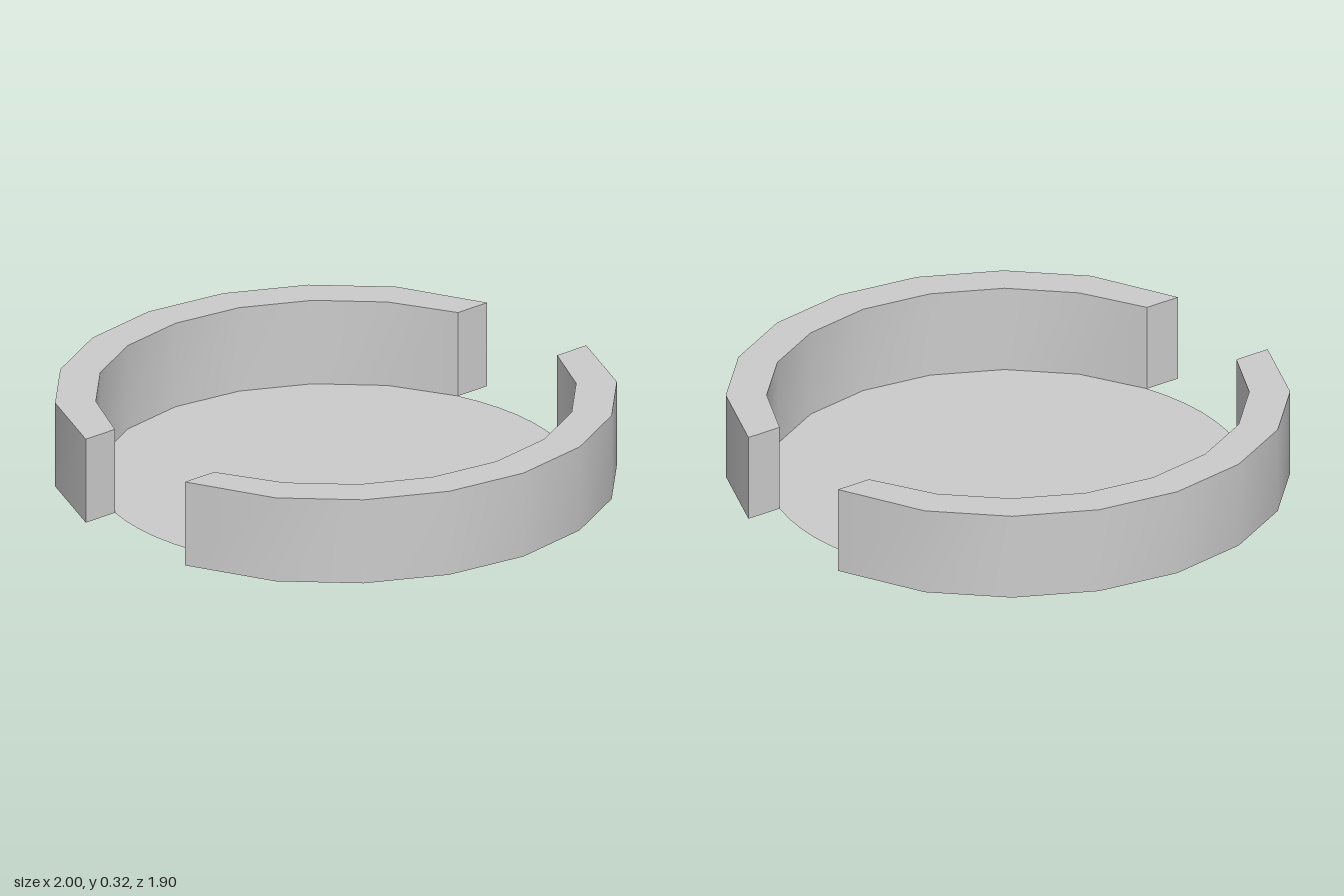
import * as THREE from 'three';

const HEIGHT = 0.32, OUTER = 1, INNER = 0.855, STEP = Math.PI / 10;
const material = new THREE.MeshStandardMaterial({ color: 0xcccccc, side: THREE.DoubleSide });

// Surface stretched between two rows of points, smooth along the row
function strip(name, rowA, rowB) {
  const positions = [], index = [];
  rowA.forEach((a, i) => {
    positions.push(...a, ...rowB[i]);
    const k = 2 * i;
    if (i < rowA.length - 1) index.push(k, k + 1, k + 2, k + 1, k + 3, k + 2);
  });
  const geometry = new THREE.BufferGeometry();
  geometry.setAttribute('position', new THREE.Float32BufferAttribute(positions, 3));
  geometry.setIndex(index);
  geometry.computeVertexNormals();
  const mesh = new THREE.Mesh(geometry, material);
  mesh.name = name;
  return mesh;
}

// Half of the rim: outer wall, inner wall, top and two ends; open underneath
function createRimHalf(name) {
  const row = (radius, y) => {
    const points = [];
    for (let i = -4; i <= 4; i++) {
      // the ends are cut square, in line with the inner corner
      const x = Math.abs(i) === 4 ? INNER * Math.cos(4 * STEP) : radius * Math.cos(i * STEP);
      points.push([x, y, radius * Math.sin(i * STEP)]);
    }
    return points;
  };
  const outerLow = row(OUTER, 0), outerHigh = row(OUTER, HEIGHT);
  const innerLow = row(INNER, 0), innerHigh = row(INNER, HEIGHT);
  const half = new THREE.Group();
  half.name = name;
  half.add(
    strip('outerWall', outerLow, outerHigh),
    strip('innerWall', innerHigh, innerLow),
    strip('rimTop', outerHigh, innerHigh),
    strip('frontEnd', [outerLow[8], innerLow[8]], [outerHigh[8], innerHigh[8]]),
    strip('backEnd', [innerLow[0], outerLow[0]], [innerHigh[0], outerHigh[0]])
  );
  return half;
}

// Thin floor: straight edges along the rim, finer arcs across the two gaps
function createFloor() {
  const points = [];
  for (const start of [-4, 6]) {
    const angles = [];
    for (let i = 0; i <= 8; i++) angles.push(start + i);
    for (let i = 1; i < 6; i++) angles.push(start + 8 + i / 3);
    for (const a of angles) {
      points.push(new THREE.Vector2(INNER * Math.cos(a * STEP), INNER * Math.sin(a * STEP)));
    }
  }
  const geometry = new THREE.ShapeGeometry(new THREE.Shape(points));
  geometry.rotateX(-Math.PI / 2);
  const floor = new THREE.Mesh(geometry, material);
  floor.name = 'floor';
  return floor;
}

export function createModel() {
  const model = new THREE.Group();
  model.name = 'splitRimTray';
  const left = createRimHalf('leftRim');
  const right = createRimHalf('rightRim');
  right.rotation.y = Math.PI;
  model.add(left, right, createFloor());
  return model;
}
